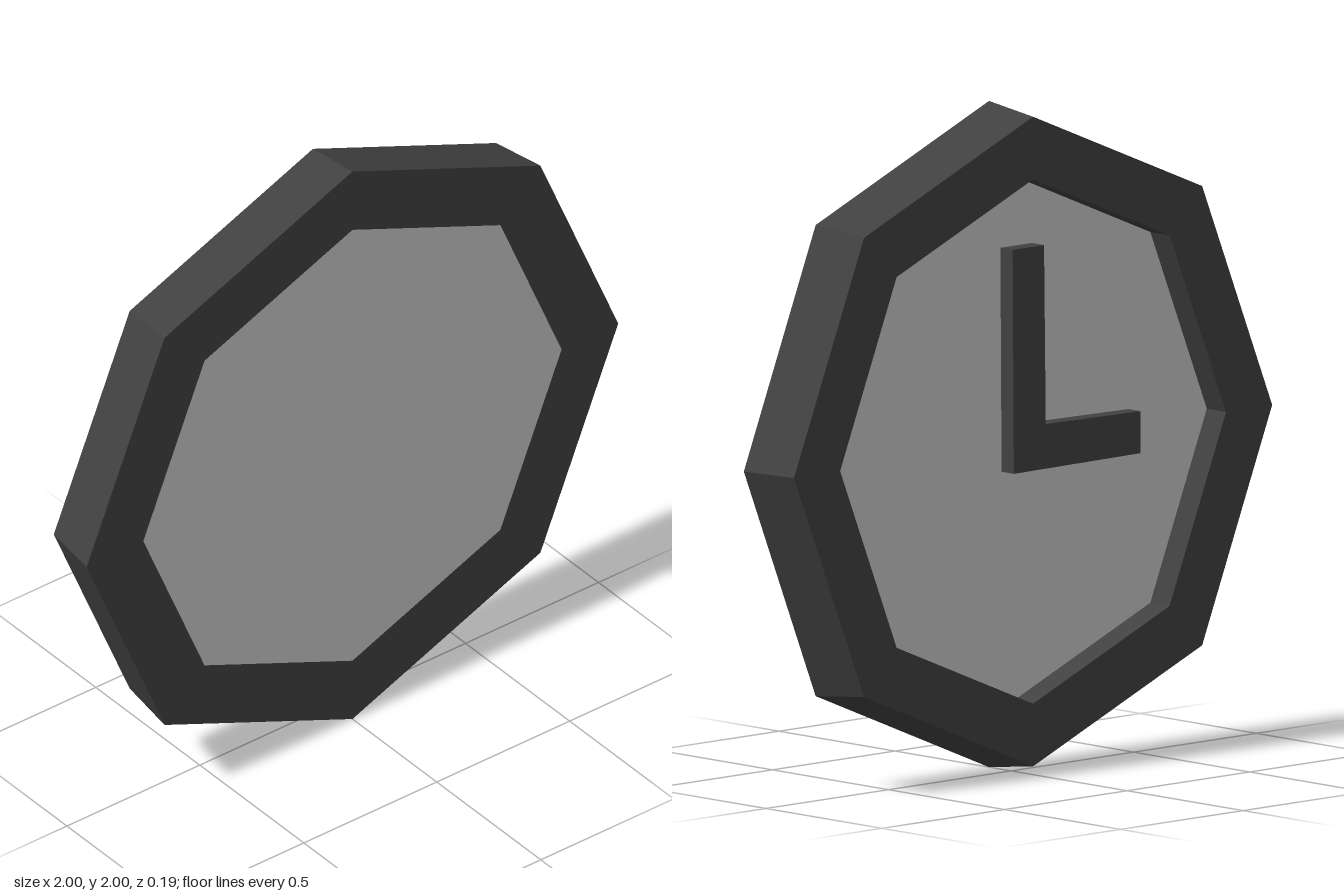
import * as THREE from 'three';

const SIDES = 8;
const HALF = 0.095;      // half the frame depth
const INNER = 0.787;     // radius of the opening
const FACE_Z = -0.012;   // recessed dial surface

export function createModel() {
  const clock = new THREE.Group();
  clock.name = 'wallClock';
  const dark = new THREE.MeshStandardMaterial({ color: 0x414141, flatShading: true });
  const light = new THREE.MeshStandardMaterial({ color: 0xcccccc, flatShading: true });

  const add = (name, geometry, material) => {
    const mesh = new THREE.Mesh(geometry, material);
    mesh.name = name;
    mesh.position.y = 1;
    clock.add(mesh);
  };

  // Octagonal frame, tapering slightly towards the dial side (-z)
  const profile = [
    [INNER, -HALF], [1, -HALF], [0.975, HALF], [INNER, HALF], [INNER, -HALF],
  ].map(([r, h]) => new THREE.Vector2(r, h));
  add('frame', new THREE.LatheGeometry(profile, SIDES).rotateX(-Math.PI / 2), dark);

  // Dial: recessed on the dial side, flush with the frame on the other
  const depth = HALF - FACE_Z;
  const dial = new THREE.CylinderGeometry(INNER, INNER, depth, SIDES);
  dial.rotateX(-Math.PI / 2).translate(0, 0, FACE_Z + depth / 2);
  add('dial', dial, light);

  // Minute and hour hand joined in one raised L
  const outline = [
    [0.05, -0.095], [0.055, 0.578], [-0.073, 0.578],
    [-0.08, 0.04], [-0.467, 0.035], [-0.467, -0.091],
  ].map(([x, y]) => new THREE.Vector2(x, y));
  const hands = new THREE.ExtrudeGeometry(new THREE.Shape(outline), { depth: 0.054, bevelEnabled: false });
  hands.translate(0, 0, FACE_Z - 0.053);
  add('hands', hands, dark);

  return clock;
}
